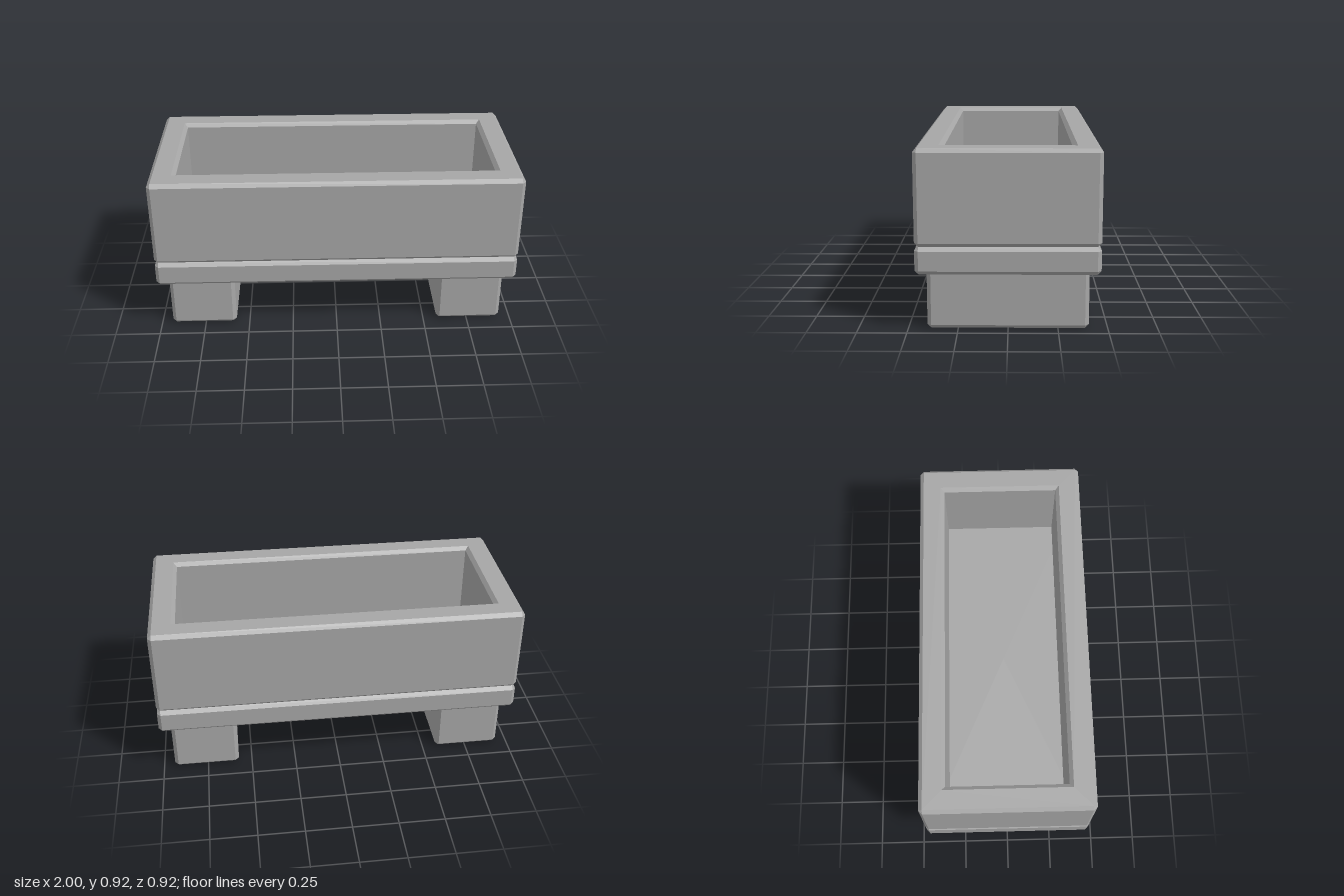
import * as THREE from 'three';

const C = 0.02; // chamfer width on every edge

// Eight-point rectangular loop at height y, with corners cut by k
function loop(x, z, k, y) {
  return [
    [x, z - k], [x - k, z], [k - x, z], [-x, z - k],
    [-x, k - z], [k - x, -z], [x - k, -z], [x, k - z],
  ].map(([px, pz]) => new THREE.Vector3(px, y, pz));
}

// Skin consecutive loops with flat faces, skipping collapsed triangles
function skin(loops) {
  const pos = [];
  const tri = (a, b, c) => {
    const n = b.clone().sub(a).cross(c.clone().sub(a));
    if (n.length() > 1e-8) for (const p of [a, b, c]) pos.push(p.x, p.y, p.z);
  };
  for (let i = 0; i < loops.length - 1; i++) {
    const lo = loops[i], hi = loops[i + 1];
    for (let j = 0; j < 8; j++) {
      const k = (j + 1) % 8;
      tri(lo[j], hi[k], lo[k]);
      tri(lo[j], hi[j], hi[k]);
    }
  }
  const g = new THREE.BufferGeometry();
  g.setAttribute('position', new THREE.Float32BufferAttribute(pos, 3));
  g.computeVertexNormals();
  return g;
}

// Outer chamfered side, from the bottom face edge to the top face edge
function outerSide(x, z, y0, y1) {
  return [
    loop(x - C, z - C, 0, y0), loop(x, z, C, y0 + C),
    loop(x, z, C, y1 - C), loop(x - C, z - C, 0, y1),
  ];
}

function chamferedBox(x, z, y0, y1) {
  return skin([loop(0, 0, 0, y0), ...outerSide(x, z, y0, y1), loop(0, 0, 0, y1)]);
}

// Rectangular wall ring with a chamfered opening, x/z being the opening at the rim
function chamferedRing(x, z, ix, iz, y0, y1) {
  const side = outerSide(x, z, y0, y1);
  return skin([
    ...side,
    loop(ix, iz, 0, y1), loop(ix - C, iz - C, 0, y1 - C),
    loop(ix - C, iz - C, 0, y0 + C), loop(ix, iz, 0, y0),
    side[0],
  ]);
}

export function createModel() {
  const group = new THREE.Group();
  const stone = new THREE.MeshStandardMaterial({ color: 0xa6a6a6 });
  stone.name = 'grey stone';

  const add = (name, geometry, x = 0) => {
    const mesh = new THREE.Mesh(geometry, stone);
    mesh.name = name;
    mesh.position.x = x;
    group.add(mesh);
  };

  // Open trough on a slab
  add('troughWalls', chamferedRing(1, 0.458, 0.88, 0.34, 0.435, 0.92));
  add('baseSlab', chamferedBox(1, 0.458, 0.295, 0.435));

  // Two block feet running front to back
  for (const [name, s] of [['leftFoot', 1], ['rightFoot', -1]]) {
    add(name, chamferedBox(0.182, 0.405, 0, 0.303), s * 0.756);
  }
  return group;
}
